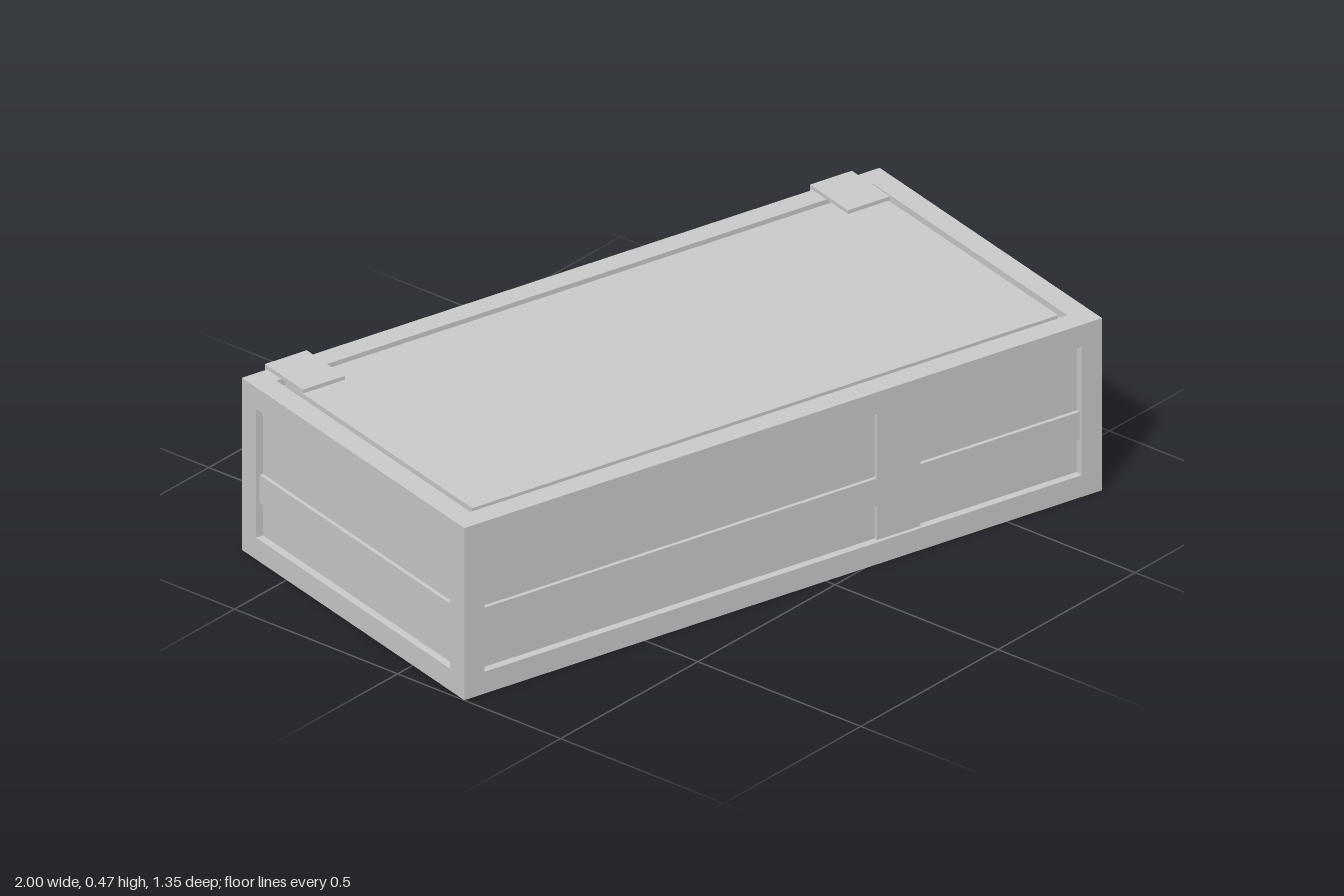
import * as THREE from 'three';

const L = 1.825, W = 0.912, H = 0.458; // overall crate size
const F = 0.058;                       // frame beam thickness
const RECESS = 0.02, RAISE = 0.01;     // panel depth, batten relief

export function createModel() {
  const root = new THREE.Group();
  root.name = 'crate';
  const crate = new THREE.Group();
  crate.name = 'crateBody';
  crate.rotation.y = -Math.PI / 12;
  root.add(crate);
  const mat = new THREE.MeshStandardMaterial({ color: 0xcccccc, flatShading: true });

  // Box given by its minimum and maximum corners
  const box = (name, x0, x1, y0, y1, z0, z1, parent = crate) => {
    const m = new THREE.Mesh(new THREE.BoxGeometry(x1 - x0, y1 - y0, z1 - z0), mat);
    m.position.set((x0 + x1) / 2, (y0 + y1) / 2, (z0 + z1) / 2);
    m.name = name;
    parent.add(m);
  };
  const hx = L / 2, hz = W / 2, ix = hx - F, iz = hz - F;

  // Recessed panels on all sides
  box('panelCore', -hx + RECESS, hx - RECESS, RECESS, H - RECESS, -hz + RECESS, hz - RECESS);

  // Lid panel with a narrow groove around it
  const gap = 0.016;
  box('lidPanel', -ix + gap, ix - gap, H - 0.03, H - 0.002, -iz + gap, iz - gap);

  // Frame: long rails, short rails and corner posts
  const frame = new THREE.Group();
  frame.name = 'frame';
  crate.add(frame);
  for (const y of [0, H - F]) {
    for (const z of [-hz, iz]) box('longRail', -hx, hx, y, y + F, z, z + F, frame);
    for (const x of [-hx, ix]) box('shortRail', x, x + F, y, y + F, -iz, iz, frame);
  }
  for (const x of [-hx, ix])
    for (const z of [-hz, iz]) box('cornerPost', x, x + F, F, H - F, z, z + F, frame);

  // Battens on the front, back and one end
  const outZ = hz - RAISE, inZ = hz - 0.04;
  for (const s of [-1, 1]) {
    const z0 = s > 0 ? inZ : -outZ, z1 = s > 0 ? outZ : -inZ;
    box('uprightBatten', 0.275, 0.4, F, H - F, z0, z1);
    box('crossBatten', -ix, 0.275, 0.148, 0.222, z0, z1);
    box('crossBatten', 0.4, ix, 0.148, 0.222, z0, z1);
  }
  box('endBatten', -hx + RAISE, -hx + 0.04, 0.148, 0.222, -iz, iz);

  // L-shaped hinges over the back edge
  const t = 0.01;
  for (const s of [-1, 1]) {
    const hinge = new THREE.Group();
    hinge.name = 'hinge';
    crate.add(hinge);
    const x0 = s * 0.78 - 0.06, x1 = s * 0.78 + 0.06;
    box('hingeTop', x0, x1, H, H + t, -hz - t, -0.31, hinge);
    box('hingeBack', x0, x1, H - F, H, -hz - t, -hz, hinge);
  }
  return root;
}
